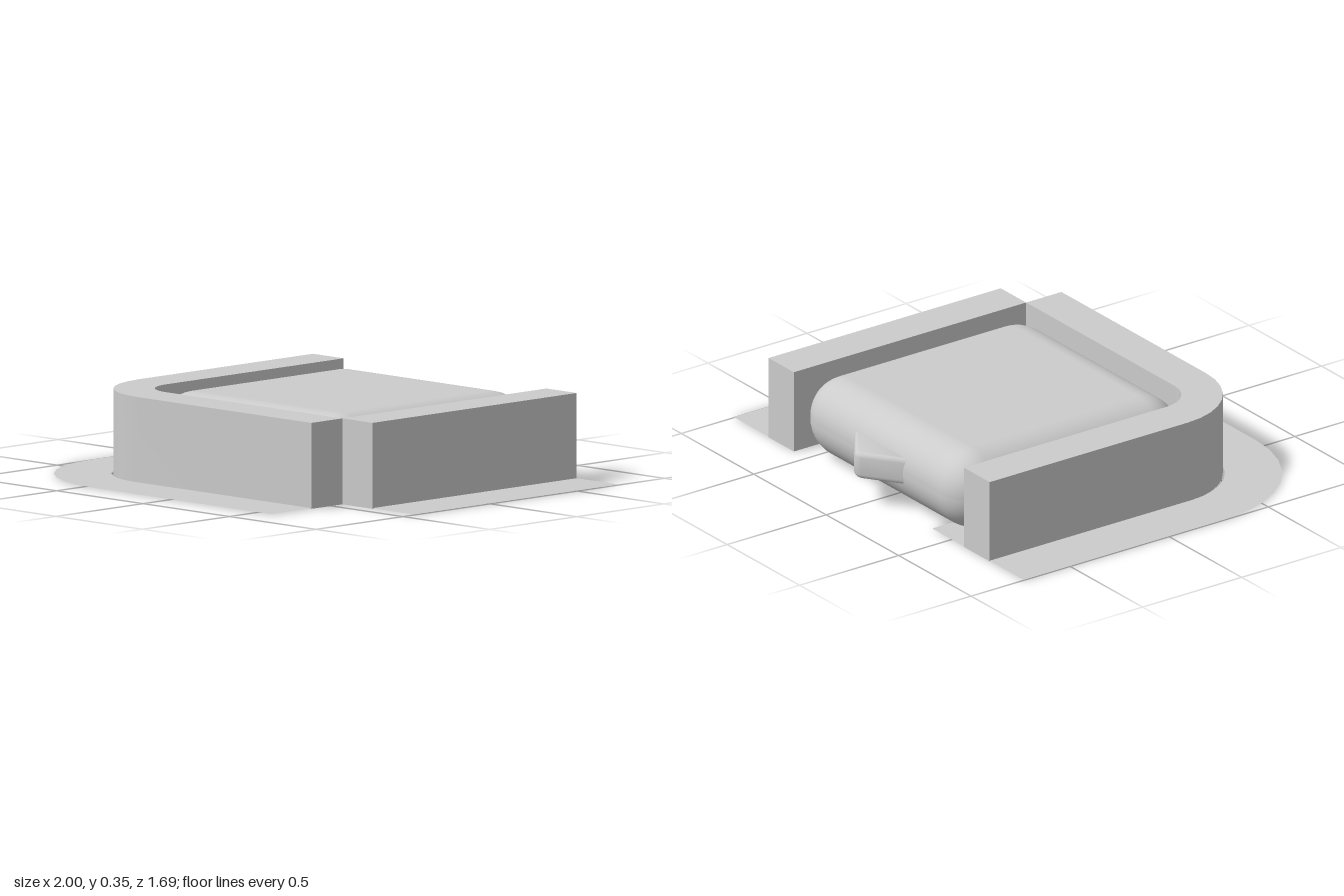
import * as THREE from 'three';
import { toCreasedNormals } from 'three/addons/utils/BufferGeometryUtils.js';
import { RoundedBoxGeometry } from 'three/addons/geometries/RoundedBoxGeometry.js';

const BACK = -0.735, END = 0.585; // rear edge of everything, right end of the front run
const HEIGHT = 0.354;
const solid = new THREE.MeshStandardMaterial({ color: 0xcccccc });
const sheet = new THREE.MeshStandardMaterial({ color: 0xcccccc, side: THREE.DoubleSide });

// L-shaped plan (shape y = world z) between two rounded corners [x, z, radius]
function bend([ox, oz, or], [ix, iz, ir]) {
  const s = new THREE.Shape();
  s.moveTo(ox, BACK);
  s.lineTo(ox, oz - or);
  s.absarc(ox + or, oz - or, or, Math.PI, Math.PI / 2, true);
  s.lineTo(END, oz);
  s.lineTo(END, iz);
  s.lineTo(ix + ir, iz);
  if (ir > 0) s.absarc(ix + ir, iz - ir, ir, Math.PI / 2, Math.PI, false);
  s.lineTo(ix, BACK);
  return s;
}

function rect(x0, x1, z0, z1) {
  return new THREE.Shape([[x0, z0], [x1, z0], [x1, z1], [x0, z1]].map(p => new THREE.Vector2(...p)));
}

export function createModel() {
  const group = new THREE.Group();
  const add = (name, geometry, material = solid) => {
    const mesh = new THREE.Mesh(geometry, material);
    mesh.name = name;
    group.add(mesh);
    return mesh;
  };
  const flat = (name, shape) => {
    add(name, new THREE.ShapeGeometry(shape, 4).rotateX(Math.PI / 2), sheet).position.y = 0.003;
  };
  const wall = (name, shape) => {
    const g = new THREE.ExtrudeGeometry(shape, { depth: HEIGHT, bevelEnabled: false, curveSegments: 4 });
    add(name, toCreasedNormals(g.rotateX(Math.PI / 2).translate(0, HEIGHT, 0), 0.5));
  };

  // Walls around the cushion
  wall('curvedWall', bend([-0.766, 0.615, 0.35], [-0.588, 0.437, 0.15]));
  wall('sideWall', rect(0.585, 0.76, BACK, 0.437));

  // Paper-thin ground strips outside and inside the walls
  flat('outerCurvedFlange', bend([-1, 0.847, 0.56], [-0.766, 0.615, 0.33]));
  flat('innerFlange', bend([-0.588, 0.437, 0.15], [-0.37, 0.22, 0]));
  flat('sideFlange', rect(0.76, 1, BACK, 0.437));

  // Cushion with fully rounded edges
  add('cushion', new RoundedBoxGeometry(1.168, 0.344, 1.17, 6, 0.165)).position.set(0, 0.172, -0.149);

  // Wedge-shaped tab on the back, its wide end sunk into the cushion
  const b = 0.02;
  const tab = new THREE.Shape();
  tab.moveTo(-0.195, -0.7);
  tab.lineTo(0.195, -0.7);
  tab.lineTo(0.015, -0.823);
  tab.quadraticCurveTo(0, -0.832, -0.015, -0.823);
  const tabGeometry = new THREE.ExtrudeGeometry(tab, {
    depth: 0.115 - 2 * b, bevelThickness: b, bevelSize: b, bevelSegments: 3, curveSegments: 4,
  }).rotateX(Math.PI / 2).translate(0, 0.239 - b, 0);
  add('backTab', toCreasedNormals(tabGeometry, 0.7));

  return group;
}
